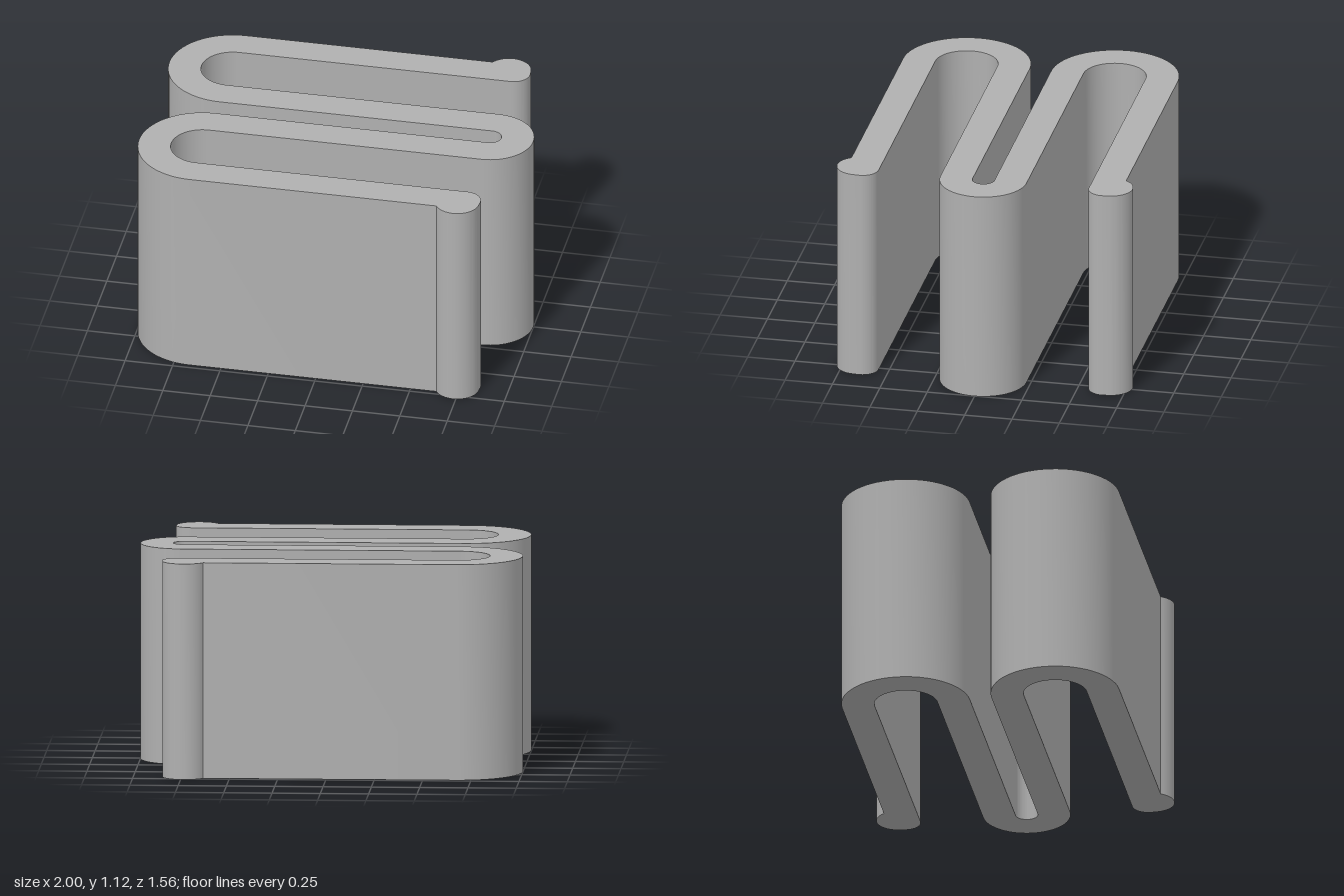
import * as THREE from 'three';
import { toCreasedNormals } from 'three/addons/utils/BufferGeometryUtils.js';

const HEIGHT = 1.125;

export function createModel() {
  const group = new THREE.Group();
  group.name = 'serpentineSpring';

  const grey = new THREE.MeshStandardMaterial({ color: 0xb0b0b0 });
  grey.name = 'grey';

  // Outline of the folded strip: arcs joined by straight arms
  const shape = new THREE.Shape();
  const arc = (x, y, r, from, to, clockwise = false) =>
    shape.absarc(x, y, r, THREE.MathUtils.degToRad(from), THREE.MathUtils.degToRad(to), clockwise);

  const leftX = -0.666, rightX = 0.773, foldY = 0.391;
  const beadX = 0.735, beadY = 0.665, beadR = 0.115;
  const cornerX = 0.767, cornerY = 0.64, cornerR = 0.085;

  // One face of the strip
  arc(leftX, foldY, 0.334, 90, 270);
  arc(rightX, 0, 0.058, 90, -90, true);
  arc(leftX, -foldY, 0.334, 90, 270);
  // Bead and rounded corner at the first end
  arc(beadX, -beadY, beadR, 211.5, 350);
  arc(cornerX, -cornerY, cornerR, 0, 90);
  // Opposite face of the strip
  arc(leftX, -foldY, 0.164, 270, 90, true);
  arc(rightX, 0, 0.227, -90, 90);
  arc(leftX, foldY, 0.164, 270, 90, true);
  // Rounded corner and bead at the second end
  arc(cornerX, cornerY, cornerR, -90, 0);
  arc(beadX, beadY, beadR, 10, 148.5);
  shape.closePath();

  const extruded = new THREE.ExtrudeGeometry(shape, {
    depth: HEIGHT, bevelEnabled: false, curveSegments: 16,
  });
  extruded.rotateX(-Math.PI / 2);

  const strip = new THREE.Mesh(toCreasedNormals(extruded, 0.6), grey);
  strip.name = 'foldedStrip';
  group.add(strip);
  return group;
}
